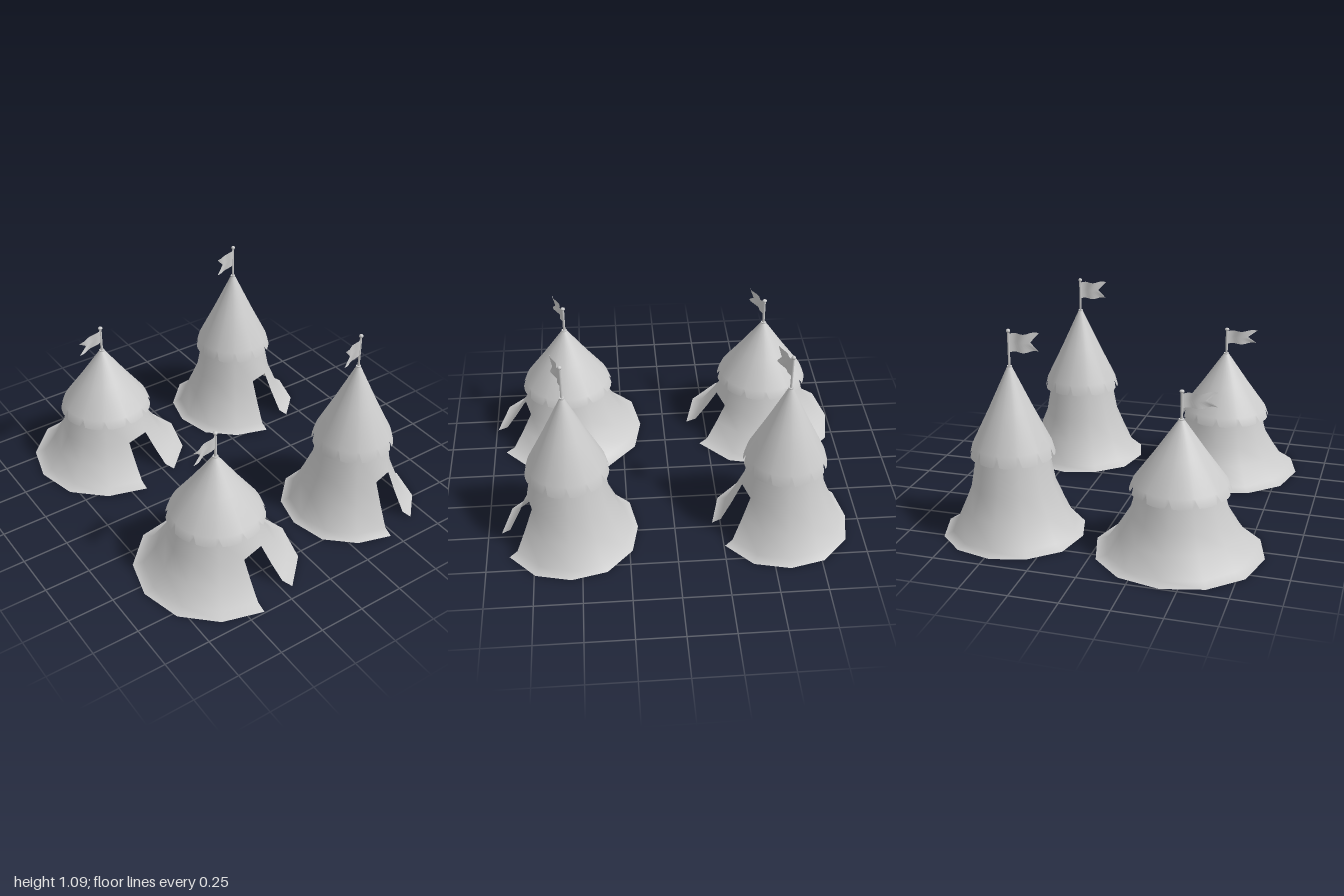
import * as THREE from 'three';

const cloth = new THREE.MeshStandardMaterial({ color: 0xcccccc, side: THREE.DoubleSide });
const solid = new THREE.MeshStandardMaterial({ color: 0xcccccc });

// Closed smooth surface around y: point(row, col) gives [radius, y, angle]; skip leaves faces out
function ringSurface(rows, cols, point, skip = () => false) {
  const pos = [], index = [];
  for (let i = 0; i < rows; i++) {
    for (let j = 0; j < cols; j++) {
      const [r, y, a] = point(i, j);
      pos.push(r * Math.sin(a), y, r * Math.cos(a));
    }
  }
  for (let i = 0; i < rows - 1; i++) {
    for (let j = 0; j < cols; j++) {
      if (skip(i, j)) continue;
      const k = (j + 1) % cols;
      const a = i * cols + j, b = a + cols, c = (i + 1) * cols + k, d = i * cols + k;
      index.push(a, b, c, a, c, d);
    }
  }
  const geo = new THREE.BufferGeometry();
  geo.setAttribute('position', new THREE.Float32BufferAttribute(pos, 3));
  geo.setIndex(index);
  geo.computeVertexNormals();
  return geo;
}

// Twelve-sided wall flaring to the ground, one lower panel left out as the doorway
function wallGeometry() {
  const profile = [[0.18, 0.475], [0.19, 0.43], [0.219, 0.27], [0.268, 0.15], [0.325, 0.025], [0.373, 0.004]];
  return ringSurface(profile.length, 12, (i, j) => {
    let [r, y] = profile[i];
    if (i === 5) {
      if (j === 6) r *= 0.965;
      y = j % 2 ? 0.007 : 0;
    }
    return [r, y, j * Math.PI / 6];
  }, (i, j) => j === 0 && i >= 2);
}

// Conical roof with a drooping edge, notched every 30 degrees
function roofGeometry() {
  const profile = [[0.012, 0.895], [0.113, 0.675], [0.204, 0.488]];
  const offsets = [0, 4, 11, 19, 26];
  return ringSurface(4, 60, (i, j) => {
    const k = j % 5;
    const a = THREE.MathUtils.degToRad(Math.floor(j / 5) * 30 + offsets[k]);
    const [r, y] = i < 3 ? profile[i] : k === 0 ? [0.208, 0.474] : [0.219, k === 1 || k === 4 ? 0.433 : 0.429];
    return [r, y, a];
  });
}

// Waving swallow-tailed flag
function flagGeometry() {
  const geo = new THREE.PlaneGeometry(1, 1, 10, 2);
  const p = geo.attributes.position;
  for (let i = 0; i < p.count; i++) {
    const v = p.getY(i);
    const u = (0.5 - p.getX(i)) * (Math.abs(v) < 0.1 ? 0.7 : 1);
    const wave = Math.sin(u * Math.PI * 3);
    p.setXYZ(i, -0.142 * u, 1.015 + 0.096 * v + 0.004 * wave, 0.052 * u + 0.007 * wave);
  }
  geo.computeVertexNormals();
  return geo;
}

function add(group, name, geo, mat, y = 0) {
  const mesh = new THREE.Mesh(geo, mat);
  mesh.name = name;
  mesh.position.y = y;
  group.add(mesh);
}

function createTent() {
  const tent = new THREE.Group();
  add(tent, 'wall', wallGeometry(), cloth);
  add(tent, 'roof', roofGeometry(), cloth);
  add(tent, 'collar', new THREE.CylinderGeometry(0.013, 0.014, 0.02, 12), solid, 0.89);
  add(tent, 'pole', new THREE.CylinderGeometry(0.006, 0.006, 0.2, 10), solid, 0.98);
  add(tent, 'finial', new THREE.SphereGeometry(0.011, 12, 8), solid, 1.079);
  add(tent, 'flag', flagGeometry(), cloth);
  return tent;
}

export function createModel() {
  const camp = new THREE.Group();
  camp.name = 'tentCamp';
  for (const z of [-0.578, 0.558]) {
    const tall = createTent();
    tall.name = 'tallTent';
    tall.position.set(0.472, 0, z);
    const wide = createTent();
    wide.name = 'wideTent';
    wide.position.set(-0.414, 0, z);
    wide.scale.set(1.167, 0.784, 1.167);
    camp.add(tall, wide);
  }
  return camp;
}
